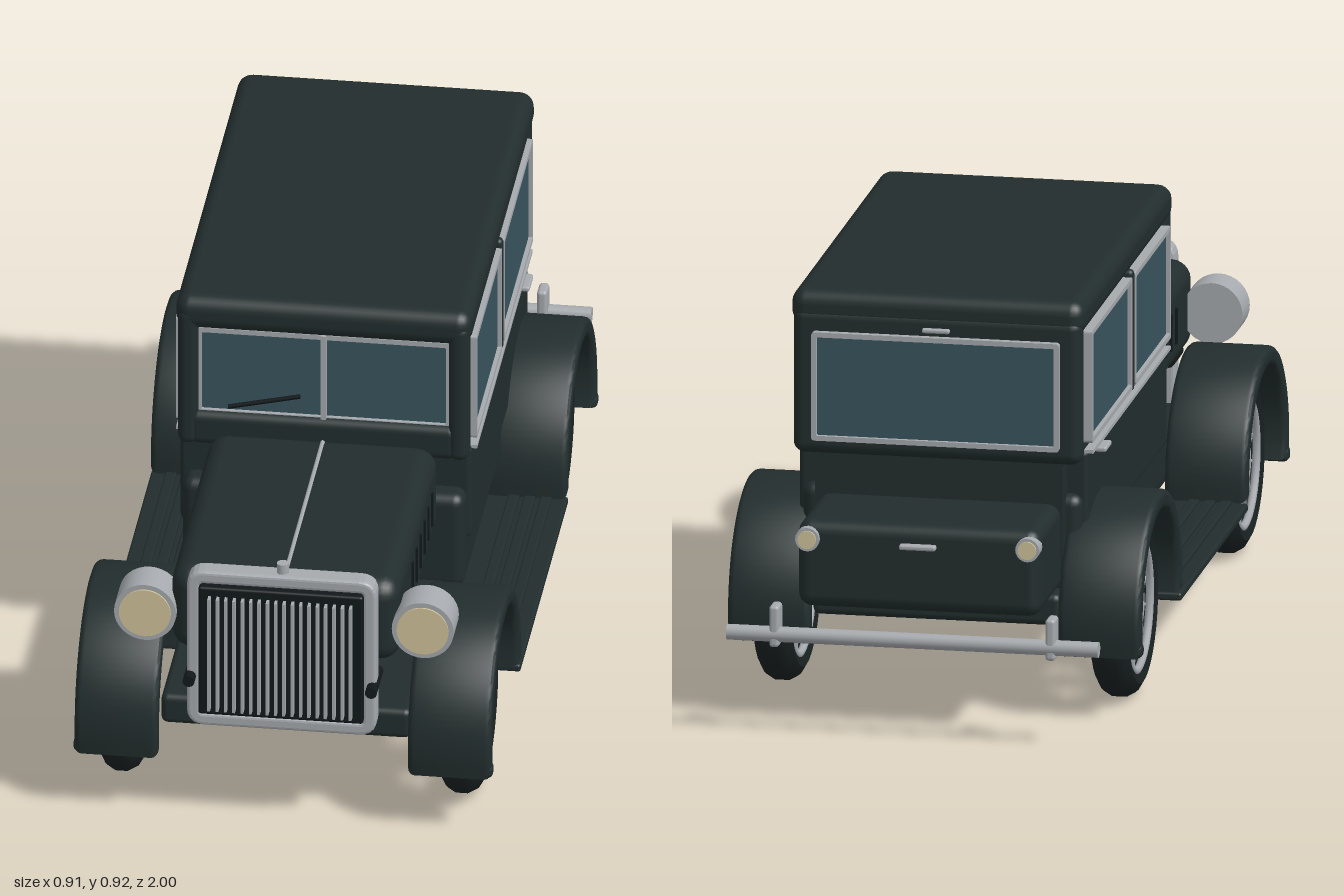
import * as THREE from 'three';
import { RoundedBoxGeometry } from 'three/addons/geometries/RoundedBoxGeometry.js';
import { toCreasedNormals } from 'three/addons/utils/BufferGeometryUtils.js';

const mat = (name, color, side = THREE.FrontSide) => {
  const m = new THREE.MeshStandardMaterial({ color, side });
  m.name = name;
  return m;
};

export function createModel() {
  const car = new THREE.Group();
  car.name = 'vintageCar';
  const paint = mat('dark green paint', 0x222d2d);
  const rubber = mat('rubber', 0x1a2121);
  const black = mat('black trim', 0x12181a);
  const glass = mat('glass', 0x39545f);
  const silver = mat('silver metal', 0xa6aaae);
  const cream = mat('lamp lens', 0xd0c29a);

  const add = (name, geo, material, x = 0, y = 0, z = 0, parent = car) => {
    const m = new THREE.Mesh(geo, material);
    m.name = name;
    m.position.set(x, y, z);
    parent.add(m);
    return m;
  };
  // Boxes given by their limits on each axis; r rounds the edges
  const box = (name, material, [x0, x1], [y0, y1], [z0, z1], r = 0, parent = car) => {
    const s = [x1 - x0, y1 - y0, z1 - z0];
    const geo = r ? new RoundedBoxGeometry(...s, 3, r) : new THREE.BoxGeometry(...s);
    return add(name, geo, material, (x0 + x1) / 2, (y0 + y1) / 2, (z0 + z1) / 2, parent);
  };
  const rod = (name, material, a, b, r, parent = car, sides = 12) => {
    const p = new THREE.Vector3(...a), q = new THREE.Vector3(...b);
    const m = add(name, new THREE.CylinderGeometry(r, r, p.distanceTo(q), sides), material, 0, 0, 0, parent);
    m.position.copy(p).lerp(q, 0.5);
    m.quaternion.setFromUnitVectors(new THREE.Vector3(0, 1, 0), q.sub(p).normalize());
    return m;
  };
  const roundRect = (shape, w, h, r) => {
    const x = w / 2, y = h / 2;
    shape.moveTo(-x + r, -y).lineTo(x - r, -y).quadraticCurveTo(x, -y, x, -y + r);
    shape.lineTo(x, y - r).quadraticCurveTo(x, y, x - r, y);
    shape.lineTo(-x + r, y).quadraticCurveTo(-x, y, -x, y - r);
    shape.lineTo(-x, -y + r).quadraticCurveTo(-x, -y, -x + r, -y);
    return shape;
  };
  const frameGeo = (w, h, t, depth, r, bevel = 0) => {
    const s = roundRect(new THREE.Shape(), w - 2 * bevel, h - 2 * bevel, r);
    s.holes.push(roundRect(new THREE.Path(), w - 2 * t + 2 * bevel, h - 2 * t + 2 * bevel, r * 0.5));
    return new THREE.ExtrudeGeometry(s, {
      depth: depth - 2 * bevel, curveSegments: 5, bevelEnabled: bevel > 0,
      bevelSize: bevel, bevelThickness: bevel, bevelSegments: 3,
    }).translate(0, 0, -depth / 2 + bevel);
  };
  // Pane with a metal surround, facing +z until turned
  const framedWindow = (name, w, h, x, y, z, turn) => {
    const g = new THREE.Group();
    g.name = name;
    g.position.set(x, y, z);
    g.rotation.y = turn;
    car.add(g);
    add('pane', new THREE.BoxGeometry(w - 0.01, h - 0.01, 0.008), glass, 0, 0, 0, g);
    add('windowFrame', frameGeo(w, h, 0.011, 0.022, 0.008), silver, 0, 0, 0.002, g);
    return g;
  };

  // Chassis, body, cabin and trunk
  box('chassis', paint, [-0.27, 0.27], [0.2, 0.27], [-0.72, 0.9], 0.015);
  box('lowerBody', paint, [-0.305, 0.305], [0.25, 0.475], [-0.66, 0.315], 0.025);
  box('upperBody', paint, [-0.315, 0.315], [0.35, 0.57], [-0.635, 0.265], 0.012);
  box('cabinCore', paint, [-0.305, 0.305], [0.5, 0.87], [-0.64, 0.275]);
  box('roof', paint, [-0.32, 0.32], [0.838, 0.917], [-0.718, 0.315], 0.032);
  box('cowl', paint, [-0.29, 0.29], [0.56, 0.64], [0.22, 0.312], 0.02);
  box('rearPanel', paint, [-0.315, 0.315], [0.555, 0.88], [-0.72, -0.665], 0.025);
  box('rearFill', paint, [-0.27, 0.27], [0.3, 0.57], [-0.69, -0.6]);
  box('trunk', paint, [-0.265, 0.265], [0.27, 0.463], [-0.925, -0.62], 0.03);
  box('trunkHandle', silver, [-0.04, 0.04], [0.412, 0.424], [-0.94, -0.92], 0.005);
  box('rearVisorHandle', silver, [-0.03, 0.03], [0.838, 0.848], [-0.73, -0.71], 0.004);

  // Hood with centre hinge
  box('hood', paint, [-0.247, 0.247], [0.39, 0.59], [0.28, 0.925], 0.045);
  rod('hoodHinge', silver, [0, 0.588, 0.31], [0, 0.588, 0.89], 0.005);

  // Windows
  framedWindow('windshield', 0.55, 0.21, 0, 0.735, 0.284, 0);
  box('windshieldMullion', silver, [-0.006, 0.006], [0.635, 0.84], [0.285, 0.302]);
  rod('wiper', black, [-0.205, 0.655, 0.303], [-0.05, 0.691, 0.303], 0.005);
  framedWindow('rearWindow', 0.54, 0.24, 0, 0.71, -0.722, Math.PI);

  // Front grille
  add('grilleFrame', frameGeo(0.41, 0.375, 0.03, 0.048, 0.03, 0.008), silver, 0, 0.428, 0.945);
  box('grillePanel', black, [-0.178, 0.178], [0.275, 0.585], [0.92, 0.982], 0.006);
  for (let i = 0; i < 18; i++) {
    const x = -0.153 + i * 0.018;
    box('grilleSlat', silver, [x - 0.003, x + 0.003], [0.293, 0.565], [0.975, 1]);
  }
  rod('radiatorCap', silver, [0, 0.61, 0.945], [0, 0.638, 0.945], 0.013);

  const tyreGeo = toCreasedNormals(new THREE.LatheGeometry([
    [0.14, -0.035], [0.165, -0.043], [0.184, -0.032], [0.195, -0.013], [0.195, 0.013],
    [0.184, 0.032], [0.165, 0.043], [0.14, 0.035], [0.14, -0.035],
  ].map(p => new THREE.Vector2(...p)), 36), 0.7).rotateZ(Math.PI / 2);
  const rimGeo = new THREE.TorusGeometry(0.139, 0.009, 8, 36).rotateY(Math.PI / 2);

  // Arched fender, given by its two end angles (0 points forward)
  const fenderGeo = (a0, a1) => {
    const s = new THREE.Shape();
    s.absarc(0, 0, 0.237, a0, a1, false);
    s.absarc(0, 0, 0.22, a1, a0, true);
    const geo = new THREE.ExtrudeGeometry(s, {
      depth: 0.152, curveSegments: 28, bevelSize: 0.013, bevelThickness: 0.014, bevelSegments: 3,
    });
    return toCreasedNormals(geo.translate(0, 0, -0.076).rotateY(-Math.PI / 2), 0.6);
  };

  for (const s of [1, -1]) {
    const span = (a, b) => (s > 0 ? [a, b] : [-b, -a]);

    // Cabin side
    box('frontPillar', paint, span(0.27, 0.315), [0.56, 0.89], [0.262, 0.315], 0.02);
    framedWindow('frontSideWindow', 0.4, 0.25, s * 0.312, 0.713, 0.052, s * Math.PI / 2);
    framedWindow('rearSideWindow', 0.455, 0.25, s * 0.312, 0.713, -0.412, s * Math.PI / 2);
    box('doorPillar', paint, span(0.29, 0.325), [0.58, 0.85], [-0.178, -0.155], 0.01);
    box('beltTrim', silver, span(0.3, 0.325), [0.563, 0.571], [-0.63, 0.25]);
    box('doorHandle', silver, span(0.31, 0.338), [0.545, 0.557], [-0.55, -0.485], 0.005);

    // Hood louvres
    for (let i = 0; i < 6; i++) {
      const z = 0.4 + i * 0.062;
      box('hoodLouvre', black, span(0.24, 0.251), [0.45, 0.53], [z - 0.005, z + 0.005]);
    }

    // Headlights and grille rods
    rod('headlightShell', silver, [s * 0.3, 0.485, 0.845], [s * 0.3, 0.485, 0.928], 0.067, car, 32);
    rod('headlightLens', cream, [s * 0.3, 0.485, 0.924], [s * 0.3, 0.485, 0.932], 0.056, car, 32);
    rod('headlightStem', paint, [s * 0.23, 0.44, 0.88], [s * 0.3, 0.44, 0.88], 0.012);
    rod('grilleRod', black, [s * 0.197, 0.36, 0.89], [s * 0.197, 0.36, 0.995], 0.013);

    // Tail lamps
    rod('tailLampShell', silver, [s * 0.24, 0.425, -0.9], [s * 0.24, 0.425, -0.938], 0.026, car, 20);
    rod('tailLampLens', cream, [s * 0.24, 0.425, -0.935], [s * 0.24, 0.425, -0.942], 0.02, car, 20);

    // Running board with ribs
    box('runningBoard', paint, span(0.27, 0.45), [0.15, 0.168], [-0.28, 0.48], 0.006);
    for (const x of [0.335, 0.37, 0.405]) {
      box('runningBoardRib', paint, span(x - 0.012, x + 0.012), [0.16, 0.177], [-0.265, 0.465], 0.004);
    }
    box('bumperBracket', silver, span(0.29, 0.312), [0.198, 0.29], [-0.998, -0.95], 0.008);

    // Wheels and fenders
    for (const [label, z, a0, a1] of [['front', 0.706, -0.18, 3.2], ['rear', -0.503, -0.06, 3.32]]) {
      const wheel = new THREE.Group();
      wheel.name = label + 'Wheel';
      wheel.position.set(s * 0.3675, 0.195, z);
      car.add(wheel);
      add('tyre', tyreGeo, rubber, 0, 0, 0, wheel);
      for (const x of [-0.03, 0.03]) add('rim', rimGeo, silver, x, 0, 0, wheel);
      rod('hub', silver, [-0.036, 0, 0], [0.036, 0, 0], 0.048, wheel, 24);
      for (let i = 0; i < 28; i++) {
        const a = i / 28 * Math.PI * 2, x = i % 2 ? 0.028 : -0.028;
        const c = Math.cos(a), d = Math.sin(a);
        rod('spoke', silver, [x, 0.04 * c, 0.04 * d], [x * 0.7, 0.138 * c, 0.138 * d], 0.004, wheel, 6);
      }
      // Extruded arc lies in the plane of y and z, with angle 0 towards +z
      add(label + 'Fender', fenderGeo(a0, a1), paint, s * 0.36, 0.2, z);
      const end = label === 'front' ? a0 : a1;
      const ey = 0.2 + 0.23 * Math.sin(end), ez = z + 0.23 * Math.cos(end);
      box('fenderLip', paint, span(0.27, 0.453), [ey - 0.016, ey + 0.016], [ez - 0.018, ez + 0.018], 0.012);
    }
  }

  // Rear bumper
  rod('rearBumper', silver, [-0.405, 0.225, -0.983], [0.405, 0.225, -0.983], 0.017, car, 16);
  return car;
}
